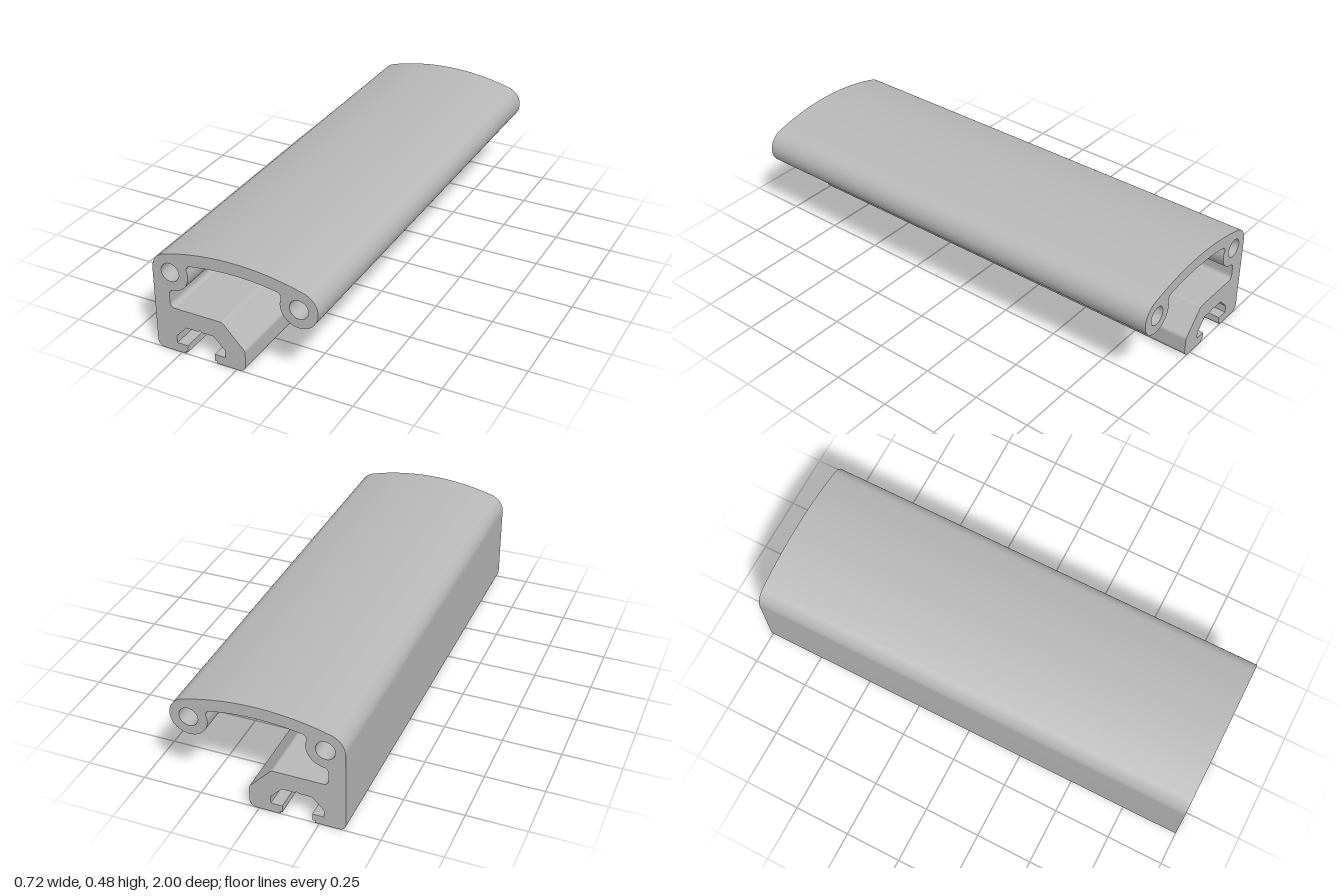
import * as THREE from 'three';
import { toCreasedNormals } from 'three/addons/utils/BufferGeometryUtils.js';

const rad = THREE.MathUtils.degToRad;

// Cross-section of the rail, traced clockwise from the lower left corner
function railProfile() {
  const s = new THREE.Shape();
  const arc = (x, y, r, from, to, clockwise = true) =>
    s.absarc(x, y, r, rad(from), rad(to), clockwise);
  const line = (...points) => points.forEach(([x, y]) => s.lineTo(x, y));

  // Outer wall, crowned top and right screw boss
  s.moveTo(-0.33, 0);
  arc(-0.33, 0.03, 0.03, 270, 180);
  arc(-0.28, 0.36, 0.08, 180, 106.26);
  arc(0, -0.6, 1.08, 106.26, 73.74);
  arc(0.28, 0.36, 0.08, 73.74, -198);

  // Underside of the crown with its fillets, then the left screw boss
  arc(0.185, 0.391, 0.02, -18, 79.4, false);
  arc(0, -0.6, 1.028, 79.4, 100.6, false);
  arc(-0.185, 0.391, 0.02, 100.6, 198, false);
  arc(-0.28, 0.36, 0.08, 18, -84.3);

  // Neck and sloped foot
  arc(-0.27, 0.2605, 0.02, 95.7, 180, false);
  arc(-0.27, 0.22, 0.02, 180, 270, false);
  arc(-0.066, 0.18, 0.02, 90, 47.5);
  arc(0.02, 0.088, 0.02, 47.5, 0);
  arc(0.01, 0.03, 0.03, 0, -90);

  // T-slot, mirrored about its own centre line
  const slotX = -0.16;
  const half = [[0.072, 0], [0.072, 0.01], [0.062, 0.01], [0.062, 0.04],
    [0.11, 0.04], [0.11, 0.072], [0.062, 0.123], [0.01, 0.123]];
  line(...half.map(([x, y]) => [slotX + x, y]));
  line([slotX, 0.129]);
  line(...half.reverse().map(([x, y]) => [slotX - x, y]));
  s.closePath();

  // Screw holes
  for (const x of [-0.28, 0.28]) {
    s.holes.push(new THREE.Path().absarc(x, 0.36, 0.04, 0, Math.PI * 2, false));
  }
  return s;
}

export function createModel() {
  const aluminium = new THREE.MeshStandardMaterial({ color: 0xb8b8b8 });
  aluminium.name = 'aluminium grey';

  const extruded = new THREE.ExtrudeGeometry(railProfile(), {
    depth: 2, bevelEnabled: false, curveSegments: 28,
  });
  extruded.translate(0, 0, -1);

  // Enlarged while creasing, so that small fillets keep separate vertices
  extruded.scale(100, 100, 100);
  const geometry = toCreasedNormals(extruded, 0.5);
  geometry.scale(0.01, 0.01, 0.01);

  const rail = new THREE.Mesh(geometry, aluminium);
  rail.name = 'extrudedRail';

  const group = new THREE.Group();
  group.name = 'handrailProfile';
  group.add(rail);
  return group;
}
